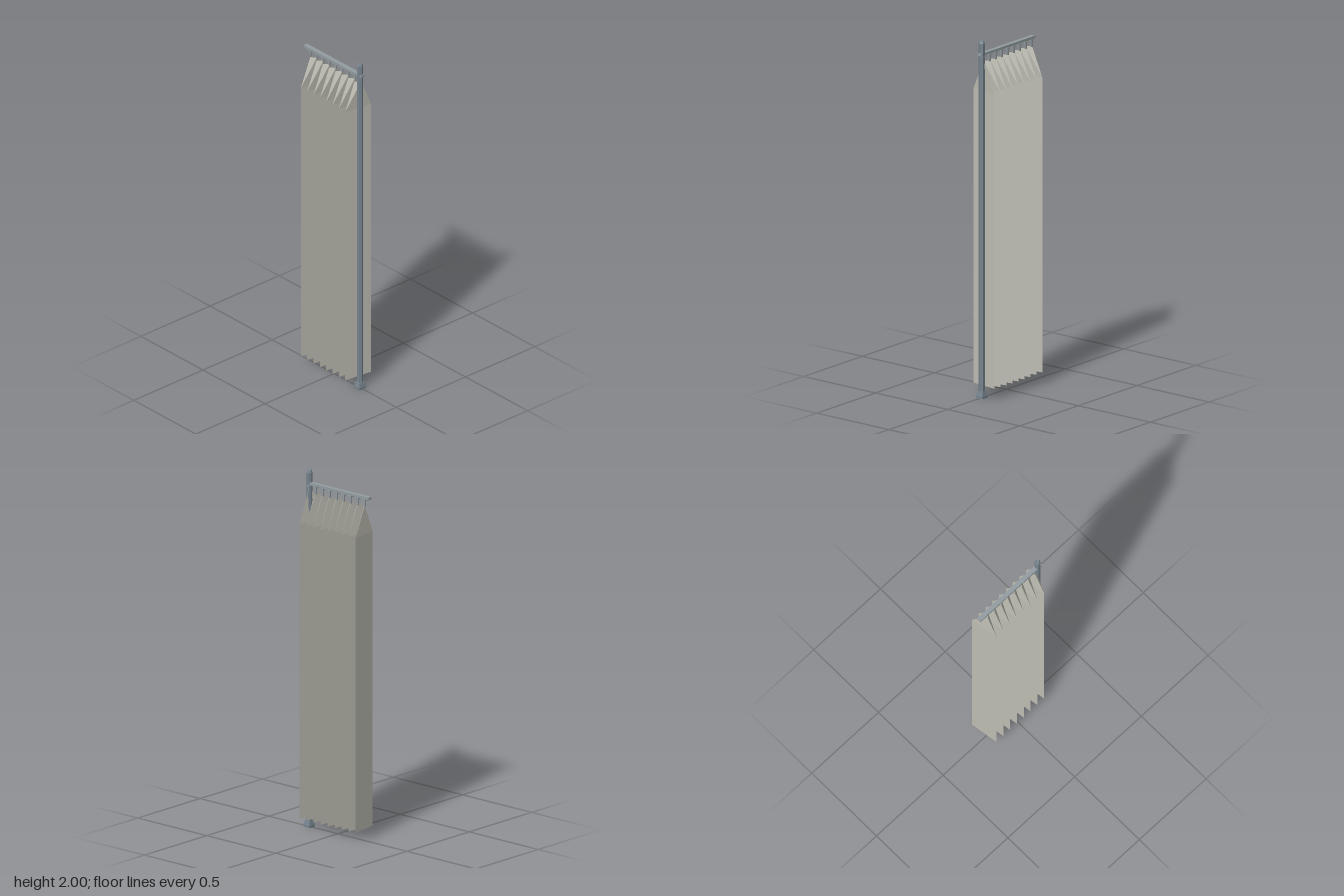
import * as THREE from 'three';

const mat = (name, color, extra = {}) => {
  const m = new THREE.MeshStandardMaterial({ color, flatShading: true, ...extra });
  m.name = name;
  return m;
};

export function createModel() {
  const group = new THREE.Group();
  group.name = 'pleatedCurtainOnPole';
  const fabric = mat('pale fabric', 0xbebdb3, { side: THREE.DoubleSide });
  const steel = mat('blue grey steel', 0x77848e);
  const railMetal = mat('light grey metal', 0x929ca0);

  const add = (name, geometry, material, x, y, z, parent = group) => {
    const m = new THREE.Mesh(geometry, material);
    m.name = name;
    m.position.set(x, y, z);
    parent.add(m);
    return m;
  };

  // Curtain: zigzag pleats, gathered towards the rail at the top
  const folds = 16, pitch = 0.0255, startX = -0.204;
  const pos = [], idx = [];
  for (let i = 0; i <= folds; i++) {
    const x = startX + i * pitch;
    const back = i % 2 === 0;
    const z = back ? -0.084 : 0.081;
    const hem = 0.059 + 0.005 * (x / 0.204) ** 2;
    pos.push(x, hem, z, x, 1.715, z, x, 1.88, back ? -0.013 : 0.013);
    if (i < folds) {
      for (let r = 0; r < 2; r++) {
        const a = i * 3 + r, b = a + 3;
        idx.push(a, b, b + 1, a, b + 1, a + 1);
      }
    }
  }
  const cloth = new THREE.BufferGeometry();
  cloth.setAttribute('position', new THREE.Float32BufferAttribute(pos, 3));
  cloth.setIndex(idx);
  cloth.computeVertexNormals();
  add('curtain', cloth, fabric, 0, 0, 0);

  // Rail and its hangers
  add('rail', new THREE.BoxGeometry(0.46, 0.014, 0.025), railMetal, -0.002, 1.925, 0);
  const hangers = new THREE.Group();
  hangers.name = 'hangers';
  group.add(hangers);
  for (let i = 0; i <= folds; i += 2) {
    const x = startX + i * pitch;
    add('hangerStem', new THREE.BoxGeometry(0.013, 0.042, 0.008), railMetal, x, 1.897, -0.011, hangers);
    add('hangerHead', new THREE.BoxGeometry(0.016, 0.008, 0.024), railMetal, x, 1.914, -0.004, hangers);
  }

  // Pole: six-sided shaft with a bevelled tip and a flared square foot
  const pole = new THREE.Group();
  pole.name = 'pole';
  pole.position.x = 0.2075;
  group.add(pole);
  const hex = (top, bottom, h) => new THREE.CylinderGeometry(top, bottom, h, 6).rotateY(Math.PI / 6);
  add('shaft', hex(0.0175, 0.0175, 1.955), steel, 0, 1.0075, 0, pole);
  add('tip', hex(0.011, 0.0175, 0.015), steel, 0, 1.9925, 0, pole);
  add('footPlate', new THREE.BoxGeometry(0.045, 0.012, 0.045), steel, 0, 0.006, 0, pole);
  add('footFlare', new THREE.CylinderGeometry(0.023, 0.0318, 0.026, 4).rotateY(Math.PI / 4), steel, 0, 0.025, 0, pole);

  return group;
}
